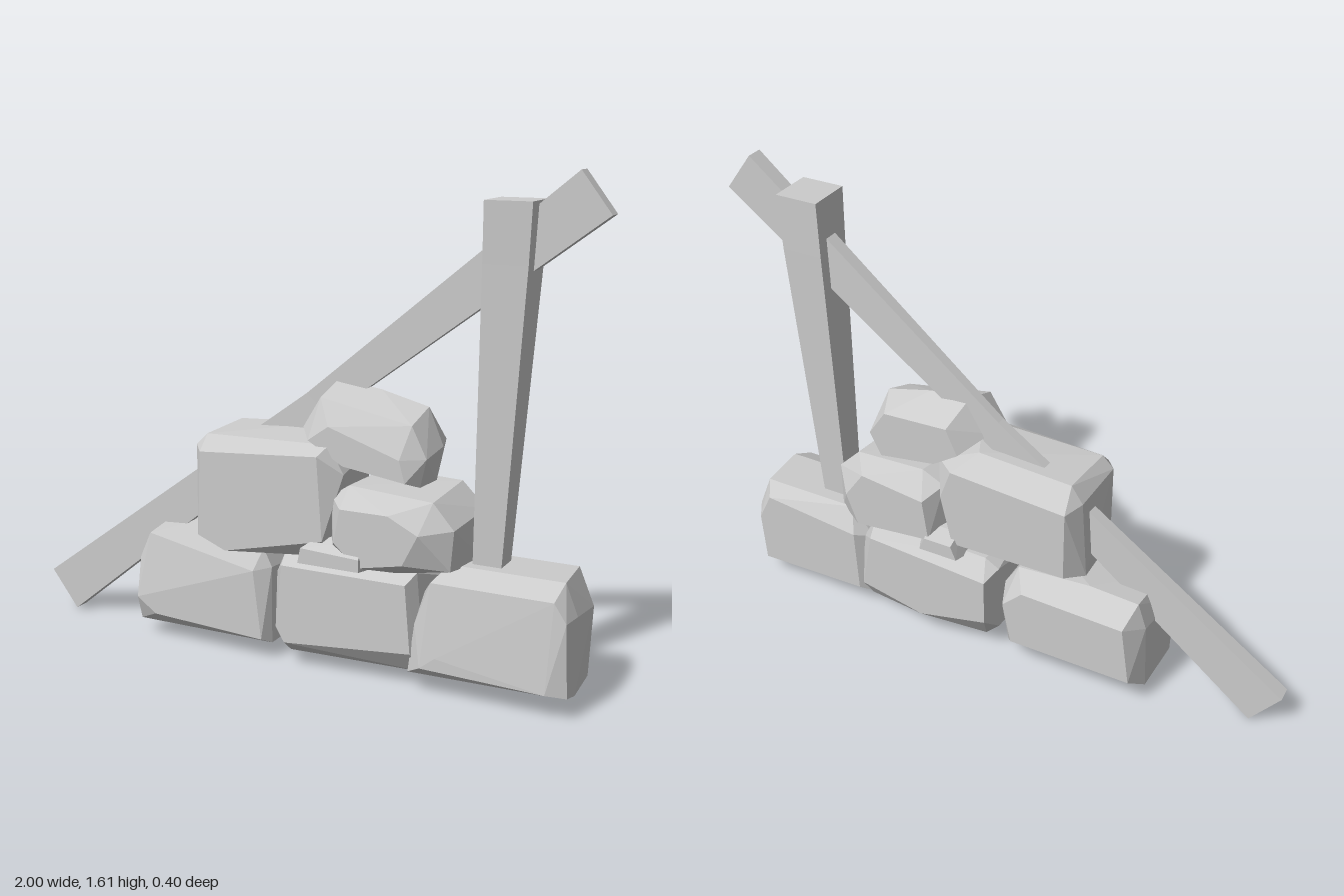
import * as THREE from 'three';
import { ConvexGeometry } from 'three/addons/geometries/ConvexGeometry.js';

const material = new THREE.MeshStandardMaterial({ color: 0xcccccc, flatShading: true });

// Chipped stone: convex hull of xy outlines placed at several depths
function stone(name, layers) {
  const points = [];
  for (const [z, outline] of layers) {
    for (const [x, y] of outline) points.push(new THREE.Vector3(x, y, z));
  }
  const mesh = new THREE.Mesh(new ConvexGeometry(points), material);
  mesh.name = name;
  return mesh;
}

// Rough timber: four-cornered sections joined in order, with closed ends
function timber(name, sections) {
  const pos = [];
  const quad = (a, b, c, d) => pos.push(...a, ...b, ...c, ...a, ...c, ...d);
  for (let i = 0; i < sections.length - 1; i++) {
    const s = sections[i], t = sections[i + 1];
    for (let k = 0; k < 4; k++) {
      const n = (k + 1) % 4;
      quad(s[k], s[n], t[n], t[k]);
    }
  }
  const first = sections[0], last = sections[sections.length - 1];
  quad(first[3], first[2], first[1], first[0]);
  quad(last[0], last[1], last[2], last[3]);
  const geometry = new THREE.BufferGeometry();
  geometry.setAttribute('position', new THREE.Float32BufferAttribute(pos, 3));
  geometry.computeVertexNormals();
  const mesh = new THREE.Mesh(geometry, material);
  mesh.name = name;
  return mesh;
}

export function createModel() {
  const group = new THREE.Group();
  group.name = 'stonePileWithTimbers';

  // Bottom course
  group.add(stone('baseStoneRight', [
    [0.13, [[-0.55, 0.14], [-0.48, 0.09], [-0.07, 0.07], [-0.1, 0.3]]],
    [0.09, [[-0.56, 0.05], [-0.56, 0.27], [-0.52, 0.36], [-0.08, 0.37], [-0.05, 0.31], [-0.05, 0.05]]],
    [-0.12, [[-0.56, 0.06], [-0.55, 0.3], [-0.52, 0.39], [-0.35, 0.4], [-0.09, 0.38], [-0.04, 0.3], [-0.05, 0.05]]],
    [-0.2, [[-0.53, 0.12], [-0.5, 0.33], [-0.14, 0.34], [-0.07, 0.27], [-0.1, 0.12]]],
  ]));
  group.add(stone('baseStoneMiddle', [
    [0.14, [[-0.01, 0.13], [0.01, 0.34], [0.44, 0.34], [0.46, 0.12], [0.02, 0.08]]],
    [0.09, [[-0.03, 0.1], [-0.03, 0.3], [0, 0.37], [0.46, 0.37], [0.49, 0.05], [0.02, 0.04]]],
    [-0.13, [[-0.02, 0.1], [-0.02, 0.35], [0.03, 0.38], [0.46, 0.39], [0.51, 0.3], [0.49, 0.05], [0.03, 0.05]]],
    [-0.2, [[0, 0.16], [0, 0.33], [0.44, 0.36], [0.48, 0.15], [0.25, 0.1]]],
  ]));
  group.add(stone('baseStoneLeft', [
    [0.16, [[0.5, 0.09], [0.9, 0.08], [0.55, 0.13]]],
    [0.13, [[0.45, 0.06], [0.47, 0.22], [0.52, 0.36], [0.91, 0.36], [0.95, 0.3], [0.96, 0.07]]],
    [0.05, [[0.45, 0.05], [0.47, 0.3], [0.55, 0.4], [0.92, 0.4], [0.96, 0.3], [0.96, 0.05]]],
    [-0.12, [[0.47, 0.05], [0.48, 0.3], [0.56, 0.4], [0.91, 0.4], [0.96, 0.28], [0.95, 0.05]]],
    [-0.17, [[0.52, 0.09], [0.53, 0.32], [0.88, 0.36], [0.93, 0.26], [0.92, 0.08]]],
  ]));

  // Second course
  group.add(stone('upperStoneRight', [
    [0.17, [[-0.28, 0.41], [-0.27, 0.69], [0.15, 0.72], [0.17, 0.45], [-0.18, 0.37]]],
    [0.12, [[-0.31, 0.4], [-0.31, 0.7], [-0.27, 0.74], [0.17, 0.75], [0.22, 0.66], [0.18, 0.39]]],
    [-0.09, [[-0.32, 0.41], [-0.3, 0.69], [-0.26, 0.75], [0.07, 0.77], [0.22, 0.7], [0.19, 0.4]]],
    [-0.16, [[-0.27, 0.43], [-0.27, 0.68], [0.14, 0.71], [0.18, 0.6], [0.14, 0.42]]],
  ]));
  group.add(stone('upperStoneLeft', [
    [0.19, [[0.22, 0.46], [0.24, 0.57], [0.4, 0.57], [0.5, 0.52], [0.45, 0.42], [0.3, 0.39]]],
    [0.12, [[0.18, 0.42], [0.18, 0.59], [0.24, 0.63], [0.52, 0.61], [0.59, 0.53], [0.58, 0.4], [0.4, 0.37]]],
    [-0.1, [[0.19, 0.4], [0.2, 0.6], [0.28, 0.64], [0.53, 0.63], [0.61, 0.55], [0.61, 0.38]]],
    [-0.18, [[0.22, 0.42], [0.24, 0.57], [0.47, 0.6], [0.54, 0.5], [0.5, 0.39]]],
  ]));

  // Small wedge between the courses
  group.add(stone('wedgeStone', [
    [0.2, [[0.1, 0.38], [0.11, 0.43], [0.31, 0.42], [0.31, 0.38]]],
    [0.14, [[0.1, 0.37], [0.15, 0.46], [0.29, 0.46], [0.32, 0.4], [0.31, 0.37]]],
    [-0.13, [[0.1, 0.37], [0.13, 0.45], [0.24, 0.45], [0.28, 0.37]]],
    [-0.19, [[0.11, 0.38], [0.13, 0.43], [0.23, 0.43], [0.25, 0.38]]],
  ]));

  // Tilted capstone
  group.add(stone('capStone', [
    [0.13, [[0.1, 0.76], [0.17, 0.81], [0.41, 0.73], [0.43, 0.66], [0.22, 0.69]]],
    [0.08, [[0.06, 0.79], [0.12, 0.89], [0.43, 0.83], [0.48, 0.73], [0.46, 0.64], [0.22, 0.68]]],
    [-0.03, [[0.06, 0.81], [0.13, 0.93], [0.28, 0.91], [0.44, 0.87], [0.49, 0.75], [0.47, 0.64], [0.2, 0.69]]],
    [-0.13, [[0.13, 0.76], [0.17, 0.85], [0.4, 0.84], [0.46, 0.75], [0.42, 0.67], [0.22, 0.7]]],
  ]));

  // Upright post, widening upward; each row: y, left x, right x, back z, front z
  group.add(timber('post', [
    [0.33, 0.61, 0.7, -0.075, 0.01],
    [1.33, 0.629, 0.77, -0.09, 0.05],
    [1.515, 0.632, 0.78, -0.09, 0.06],
  ].map(([y, x0, x1, z0, z1]) => [[x0, y, z1], [x1, y, z1], [x1, y, z0], [x0, y, z0]])));

  // Leaning beam, slimmer at mid length; each row: lower x, y, upper x, y, back z, front z
  group.add(timber('leaningBeam', [
    [-0.9, 0, -1, 0.13, -0.05, 0.005],
    [0.1, 0.81, 0.02, 0.875, -0.05, -0.018],
    [0.995, 1.48, 0.9, 1.605, -0.05, 0.005],
  ].map(([x0, y0, x1, y1, z0, z1]) => [[x0, y0, z0], [x1, y1, z0], [x1, y1, z1], [x0, y0, z1]])));

  return group;
}
